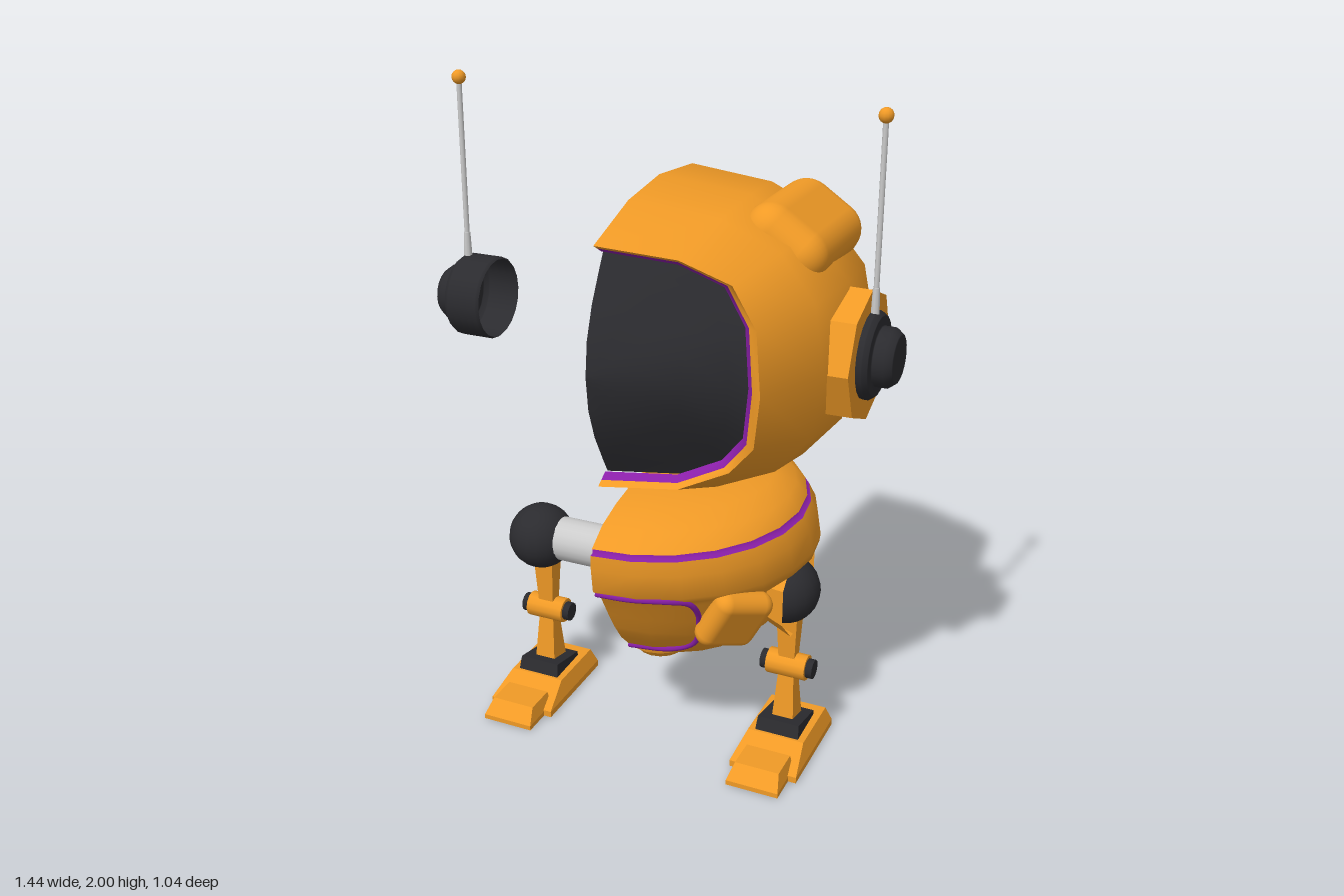
import * as THREE from 'three';
import { RoundedBoxGeometry } from 'three/addons/geometries/RoundedBoxGeometry.js';

const mat = (color, flatShading = false) =>
  new THREE.MeshStandardMaterial({ color, flatShading, side: THREE.DoubleSide });
const orange = mat(0xf09a26), orangeFlat = mat(0xf09a26, true);
const dark = mat(0x2b2b2f), grey = mat(0xcccccc), purple = mat(0x8a1fa8), gold = mat(0xd8b060);

function add(parent, name, geometry, material, x = 0, y = 0, z = 0) {
  const mesh = new THREE.Mesh(geometry, material);
  mesh.name = name;
  mesh.position.set(x, y, z);
  parent.add(mesh);
  return mesh;
}

// Skin a list of rings, each a list of [x, y, z]
function loft(rings) {
  const n = rings[0].length, index = [];
  for (let i = 0; i < rings.length - 1; i++)
    for (let j = 0; j < n - 1; j++) {
      const a = i * n + j, c = a + n;
      index.push(a, c, a + 1, a + 1, c, c + 1);
    }
  const g = new THREE.BufferGeometry();
  g.setAttribute('position', new THREE.Float32BufferAttribute(rings.flat(2), 3));
  g.setIndex(index);
  g.computeVertexNormals();
  return g;
}

// Box whose top is scaled and shifted
function taper(w, h, d, sx, sz, shift = 0) {
  const g = new THREE.BoxGeometry(w, h, d), p = g.attributes.position;
  for (let i = 0; i < p.count; i++)
    if (p.getY(i) > 0) p.setXYZ(i, p.getX(i) * sx, p.getY(i), p.getZ(i) * sz + shift);
  g.computeVertexNormals();
  return g;
}

const lathe = (pts, seg) => new THREE.LatheGeometry(pts.map(p => new THREE.Vector2(...p)), seg);

// Half ring around the z axis, from top to bottom through +x; corners pulled back by dip
function headRing([z, rx, ry, dip = 0, n = 2]) {
  const ring = [], seg = 8;
  for (let j = 0; j <= seg; j++) {
    const t = Math.PI * j / seg, s = Math.sin(t), c = Math.cos(t);
    ring.push([
      j % seg ? rx * Math.pow(s, 2 / n) : 0,
      1.32 + ry * Math.sign(c) * Math.pow(Math.abs(c), 2 / n),
      z - dip * Math.sin(2 * t) ** 2]);
  }
  return ring;
}
const headLoft = rows => loft(rows.map(headRing));

// Half body rows: y, half width, front z, back z
const bodyRows = [
  [0.298, 0, 0.05, 0.05], [0.306, 0.15, 0.16, -0.06], [0.34, 0.28, 0.25, -0.2],
  [0.42, 0.375, 0.33, -0.32], [0.455, 0.4, 0.355, -0.35], [0.475, 0.415, 0.37, -0.365],
  [0.54, 0.45, 0.41, -0.41], [0.615, 0.475, 0.453, -0.435], [0.635, 0.48, 0.468, -0.44],
  [0.665, 0.487, 0.505, -0.445], [0.74, 0.48, 0.515, -0.43], [0.785, 0.46, 0.515, -0.41]];
const trimRows = [[0.785, 0.46, 0.515, -0.41], [0.788, 0.445, 0.503, -0.403], [0.802, 0.44, 0.5, -0.4]];
const collarRows = [
  [0.802, 0.447, 0.506, -0.403], [0.845, 0.415, 0.44, -0.345], [0.873, 0.35, 0.35, -0.255],
  [0.888, 0.25, 0.26, -0.17], [0.89, 0.13, 0.16, -0.08]];

function bodyRing([y, rx, zf, zb]) {
  const ring = [], seg = 12;
  for (let j = 0; j <= seg; j++) {
    const t = Math.PI * j / seg;
    let x = j % seg ? rx * Math.sin(t) : 0;
    const z = (zf + zb) / 2 - (zf - zb) / 2 * Math.cos(t);
    // Recess around the hip joint
    if (Math.abs(z - 0.03) < 0.16 && y > 0.47 && y < 0.62) x = Math.min(x, 0.39);
    ring.push([x, y, z]);
  }
  return ring;
}

// Depth of the body's front at x, y
function frontZ(x, y) {
  const i = bodyRows.findIndex(r => r[0] >= y), a = bodyRows[i - 1], b = bodyRows[i];
  const [, rx, zf, zb] = a.map((v, k) => THREE.MathUtils.lerp(v, b[k], (y - a[0]) / (b[0] - a[0])));
  return (zf + zb) / 2 + (zf - zb) / 2 * Math.sqrt(Math.max(0, 1 - (x / rx) ** 2));
}

function buildHead() {
  const head = new THREE.Group();
  head.name = 'head';
  add(head, 'helmetShell', headLoft([
    [-0.525, 0, 0], [-0.487, 0.25, 0.19], [-0.37, 0.47, 0.335, 0, 2.1], [-0.18, 0.575, 0.42, 0, 2.3],
    [0.05, 0.6, 0.44, 0, 2.45], [0.25, 0.57, 0.415, 0.02, 2.5], [0.46, 0.47, 0.345, 0.07, 2.6]]), orange);
  add(head, 'helmetRim', headLoft([
    [0.46, 0.47, 0.345, 0.07, 2.6], [0.44, 0.44, 0.333, 0.065, 2.7]]), orange);
  add(head, 'visorTrim', headLoft([
    [0.44, 0.44, 0.333, 0.065, 2.7], [0.415, 0.42, 0.318, 0.06, 2.7]]), purple);
  add(head, 'visor', headLoft([
    [0.4, 0.425, 0.322, 0.06, 2.7], [0.425, 0.37, 0.28, 0.05, 2.6], [0.475, 0.26, 0.19, 0.02, 2.3],
    [0.508, 0.14, 0.1], [0.52, 0, 0]]), dark);
  const eye = add(head, 'eye', new THREE.CircleGeometry(1, 12), gold, 0.2, 1.25, 0.37);
  eye.scale.set(0.1, 0.12, 1);
  // Raised pod on the crown
  const pod = add(head, 'crownPod', new RoundedBoxGeometry(0.26, 0.2, 0.43, 4, 0.08), orange, 0.39, 1.61, -0.03);
  pod.rotation.z = -0.6;
  const plate = add(head, 'earPlate', new THREE.CylinderGeometry(0.19, 0.192, 0.135, 8), orangeFlat, 0.562, 1.315, 0.04);
  plate.rotation.z = -Math.PI / 2;
  return head;
}

function buildEar(side) {
  const ear = new THREE.Group();
  ear.name = side > 0 ? 'leftEar' : 'rightEar';
  // Hollow cup, with doubled points keeping its edges crisp
  const cup = add(ear, 'earCup', lathe([
    [0.12, 0.54], [0.125, 0.546], [0.125, 0.55], [0.125, 0.645], [0.124, 0.648], [0.115, 0.66], [0.112, 0.661],
    [0.087, 0.661], [0.085, 0.664], [0.085, 0.695], [0.07, 0.715], [0.066, 0.717], [0, 0.718]], 20),
    dark, 0, 1.32, 0.045);
  cup.rotation.z = -side * Math.PI / 2;
  add(ear, 'antennaBase', new THREE.CylinderGeometry(0.01, 0.013, 0.08, 8), grey, side * 0.64, 1.475, 0.045);
  add(ear, 'antenna', new THREE.CylinderGeometry(0.008, 0.008, 0.48, 8), grey, side * 0.64, 1.74, 0.045);
  add(ear, 'antennaTip', new THREE.SphereGeometry(0.021, 12, 8), orange, side * 0.64, 1.979, 0.045);
  return ear;
}

function buildBody() {
  const body = new THREE.Group();
  body.name = 'body';
  add(body, 'bodyShell', loft(bodyRows.map(bodyRing)), orange);
  add(body, 'collarTrim', loft(trimRows.map(bodyRing)), purple);
  add(body, 'collar', loft(collarRows.map(bodyRing)), orange);

  // Trim along the edge of the belly panel
  const edge = [[0.365, 0], [0.375, 0.12], [0.4, 0.185], [0.44, 0.225], [0.52, 0.25], [0.58, 0.26],
    [0.63, 0.25], [0.65, 0.2], [0.65, 0.1], [0.65, 0]]
    .map(([y, x]) => new THREE.Vector3(x, y, frontZ(x, y) + 0.002));
  add(body, 'bellyTrim', new THREE.TubeGeometry(new THREE.CatmullRomCurve3(edge), 40, 0.009, 5), purple);
  // Low pouch between the belly and the hip
  const pouch = add(body, 'sidePouch', new RoundedBoxGeometry(0.19, 0.2, 0.08, 3, 0.038), orange, 0.345, 0.55, 0.295);
  pouch.rotation.set(0.4, 0.8, -0.3, 'YXZ');

  // Flared hip socket, hip axle and hollow nozzle below
  const socket = add(body, 'hipSocket', new THREE.CylinderGeometry(0.15, 0.11, 0.1, 8, 1, true), orangeFlat, 0.4, 0.54, 0.035);
  socket.rotation.set(Math.PI / 8, 0, -Math.PI / 2);
  const axle = add(body, 'hipAxle', new THREE.CylinderGeometry(0.07, 0.07, 0.82, 20), grey, 0, 0.54, 0.045);
  axle.rotation.z = Math.PI / 2;
  add(body, 'nozzle', lathe([
    [0, 0.245], [0.055, 0.245], [0.06, 0.235], [0.075, 0.235], [0.08, 0.262], [0.108, 0.266],
    [0.108, 0.365], [0.09, 0.365], [0.085, 0.275], [0, 0.27]], 16), orange, 0, 0, 0.045);
  return body;
}

function buildLeg(name, x, hipX) {
  const leg = new THREE.Group();
  leg.name = name;
  leg.position.set(x, 0, 0.045);
  add(leg, 'hipBall', new THREE.SphereGeometry(0.105, 20, 14), dark, hipX - x, 0.535, 0);
  add(leg, 'upperLeg', taper(0.05, 0.16, 0.04, 1.3, 1.5), orangeFlat, 0, 0.37, 0);
  const knee = add(leg, 'knee', new THREE.CylinderGeometry(0.04, 0.04, 0.125, 12), orange, 0, 0.275, 0);
  const pin = add(leg, 'kneePin', new THREE.CylinderGeometry(0.03, 0.03, 0.168, 12), dark, 0, 0.275, 0);
  knee.rotation.z = pin.rotation.z = Math.PI / 2;
  add(leg, 'lowerLeg', taper(0.07, 0.17, 0.08, 0.7, 0.5), orangeFlat, 0, 0.17, 0);
  const ankle = add(leg, 'ankle', taper(0.14, 0.045, 0.15, 0.95, 0.95), dark, 0, 0.075, 0.01);
  ankle.rotation.x = -0.2;
  // Stepped foot: sole, sloped top and toe
  add(leg, 'sole', new THREE.BoxGeometry(0.215, 0.02, 0.335), orangeFlat, 0, 0.01, 0.037);
  add(leg, 'footTop', taper(0.215, 0.05, 0.335, 0.84, 0.62, -0.045), orangeFlat, 0, 0.045, 0.037);
  add(leg, 'toeSole', new THREE.BoxGeometry(0.165, 0.015, 0.14), orangeFlat, 0, 0.0075, 0.225);
  add(leg, 'toe', taper(0.165, 0.042, 0.14, 0.85, 0.7, -0.02), orangeFlat, 0, 0.036, 0.225);
  return leg;
}

export function createModel() {
  const model = new THREE.Group();
  model.name = 'robot';
  model.add(buildHead(), buildBody(), buildEar(1), buildEar(-1));
  model.add(buildLeg('leftLeg', 0.43, 0.413), buildLeg('rightLeg', -0.403, -0.42));
  return model;
}
